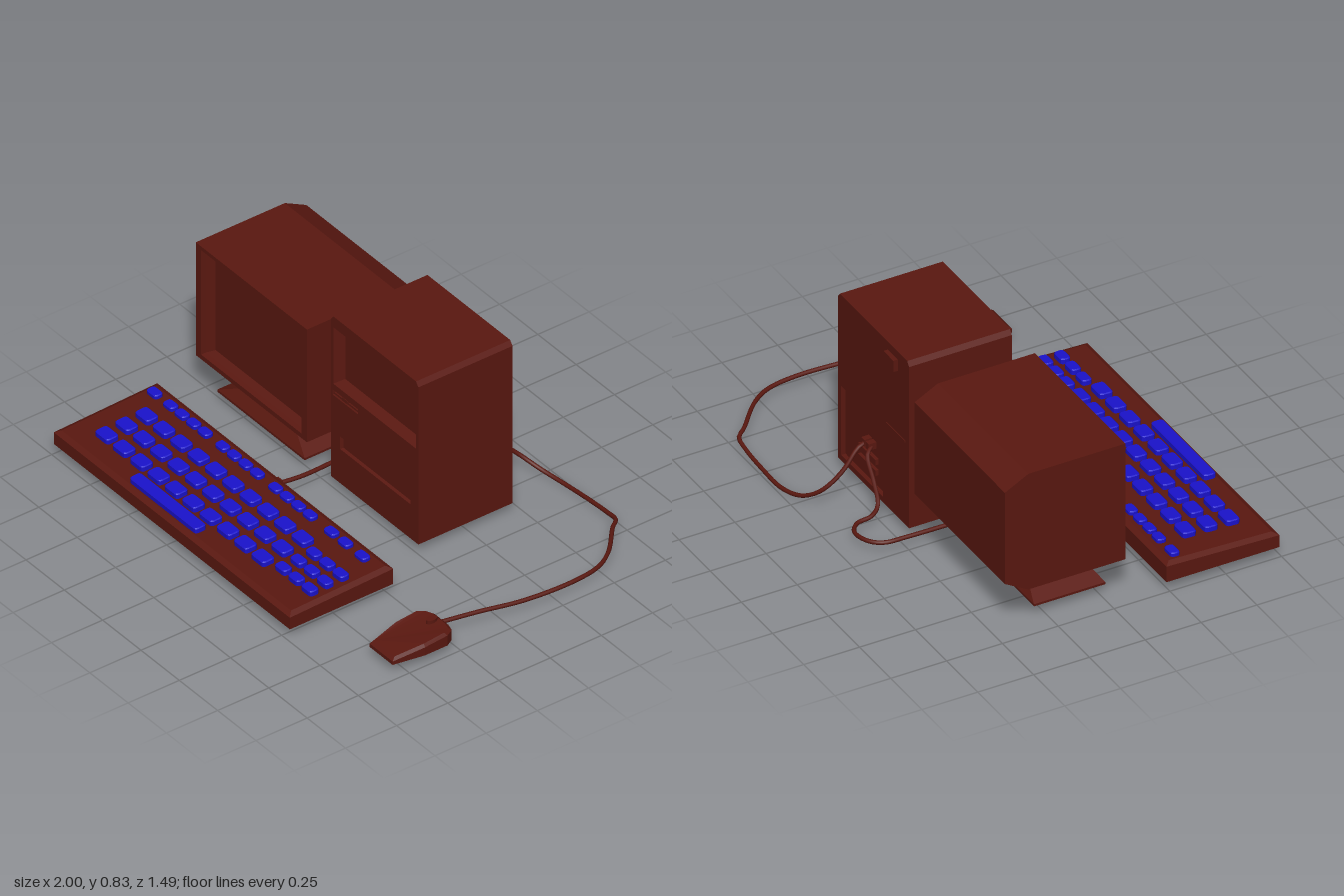
import * as THREE from 'three';

const CASE = new THREE.MeshStandardMaterial({ color: 0x5a1810 });
const BLUE = new THREE.MeshStandardMaterial({ color: 0x1a12cc });

function add(parent, name, geometry, material = CASE) {
  const mesh = new THREE.Mesh(geometry, material);
  mesh.name = name;
  parent.add(mesh);
  return mesh;
}

function box(parent, name, x0, x1, y0, y1, z0, z1) {
  const g = new THREE.BoxGeometry(x1 - x0, y1 - y0, z1 - z0);
  return add(parent, name, g.translate((x0 + x1) / 2, (y0 + y1) / 2, (z0 + z1) / 2));
}

// Flat-faced skin over a row of closed rings, with optional end caps
function loft(rings, capStart = true, capEnd = true) {
  const pos = [];
  const tri = (a, b, c) => pos.push(...a, ...b, ...c);
  for (let k = 0; k + 1 < rings.length; k++) {
    const a = rings[k], b = rings[k + 1], n = a.length;
    for (let i = 0; i < n; i++) {
      const j = (i + 1) % n;
      tri(a[i], a[j], b[j]);
      tri(a[i], b[j], b[i]);
    }
  }
  const first = rings[0], last = rings[rings.length - 1];
  for (let i = 1; i + 1 < first.length; i++) {
    if (capStart) tri(first[0], first[i + 1], first[i]);
    if (capEnd) tri(last[0], last[i], last[i + 1]);
  }
  const g = new THREE.BufferGeometry();
  g.setAttribute('position', new THREE.Float32BufferAttribute(pos, 3));
  g.computeVertexNormals();
  return g;
}

// Rectangular rings: upright (facing z) and lying (facing y, y may depend on z)
const upright = (x0, x1, y0, y1, z) => [[x0, y0, z], [x1, y0, z], [x1, y1, z], [x0, y1, z]];
const lying = (x0, x1, z0, z1, y) =>
  [[x0, z1], [x1, z1], [x1, z0], [x0, z0]].map(([x, z]) => [x, typeof y === 'function' ? y(z) : y, z]);

function cable(parent, name, points) {
  const curve = new THREE.CatmullRomCurve3(points.map(p => new THREE.Vector3(...p)));
  add(parent, name, new THREE.TubeGeometry(curve, 80, 0.009, 8));
}

function buildMonitor() {
  const g = new THREE.Group();
  g.name = 'monitor';
  add(g, 'monitorCasing', loft([
    upright(-0.975, -0.25, 0.26, 0.69, -0.475),
    upright(-0.975, -0.25, 0.2, 0.745, -0.37),
    upright(-0.975, -0.25, 0.2, 0.745, 0.065),
    upright(-0.94, -0.285, 0.222, 0.727, 0.065),
    upright(-0.935, -0.29, 0.227, 0.722, 0.045),
    upright(-0.905, -0.305, 0.245, 0.7, 0.02),
  ]));
  add(g, 'standNeck', loft([
    lying(-0.72, -0.49, -0.25, -0.04, 0.14),
    lying(-0.8, -0.43, -0.29, 0.0, 0.2),
  ]));
  add(g, 'standBase', loft([
    lying(-0.72, -0.49, -0.22, -0.08, 0.11),
    lying(-0.87, -0.35, -0.28, 0.0, 0.05),
    lying(-0.895, -0.325, -0.3, 0.02, 0.05),
    lying(-0.895, -0.325, -0.3, 0.02, 0.06),
    lying(-0.72, -0.49, -0.25, -0.04, 0.145),
  ]));
  return g;
}

// Tower outline with bevelled top corners and rectangular openings
function towerSlice(openings, z0, z1) {
  const outline = [[-0.18, 0.05], [0.39, 0.05], [0.39, 0.81], [0.375, 0.83], [-0.165, 0.83], [-0.18, 0.81]];
  const shape = new THREE.Shape(outline.map(p => new THREE.Vector2(...p)));
  for (const [x0, x1, y0, y1] of openings) {
    shape.holes.push(new THREE.Path([[x0, y0], [x0, y1], [x1, y1], [x1, y0]].map(p => new THREE.Vector2(...p))));
  }
  return new THREE.ExtrudeGeometry(shape, { depth: z1 - z0, bevelEnabled: false }).translate(0, 0, z0);
}

function buildTower() {
  const g = new THREE.Group();
  g.name = 'tower';
  const bay = [-0.165, 0.375, 0.505, 0.778];
  const slot = [-0.17, -0.005, 0.45, 0.475];
  const badge = [-0.12, 0.34, 0.215, 0.275];
  const ports = [0.03, 0.365, 0.075, 0.4];
  add(g, 'towerFront', towerSlice([bay, slot, badge], -0.05, 0));
  add(g, 'towerBody', towerSlice([], -0.44, -0.05));
  add(g, 'towerBack', towerSlice([ports], -0.46, -0.44));
  // Recessed panels of the front
  add(g, 'driveBay', loft([upright(...bay, 0), upright(-0.14, 0.355, 0.525, 0.762, -0.04)], false));
  add(g, 'lowerPanel', loft([upright(...badge, 0), upright(-0.115, 0.335, 0.22, 0.27, -0.012)], false));
  box(g, 'diskSlot', -0.17, -0.005, 0.45, 0.458, -0.04, -0.008);
  box(g, 'diskSlotLip', -0.17, -0.005, 0.468, 0.475, -0.04, -0.008);
  box(g, 'diskButton', -0.11, -0.075, 0.455, 0.47, -0.04, -0.002);
  // Switch, connectors and slot covers of the back
  box(g, 'powerSwitch', -0.09, -0.01, 0.74, 0.793, -0.48, -0.45);
  box(g, 'backSlot', -0.15, 0.0, 0.437, 0.447, -0.464, -0.45);
  for (const x of [0.13, 0.165]) box(g, 'cablePlug', x - 0.013, x + 0.013, 0.245, 0.275, -0.475, -0.44);
  for (const y of [0.13, 0.18]) box(g, 'backPort', 0.1, 0.24, y, y + 0.025, -0.455, -0.44);
  return g;
}

function keyGeometry(w, d) {
  const r = 0.012, x = w / 2 - 0.004, y = d / 2 - 0.004;
  const s = new THREE.Shape();
  s.moveTo(-x + r, -y);
  s.lineTo(x - r, -y).quadraticCurveTo(x, -y, x, -y + r);
  s.lineTo(x, y - r).quadraticCurveTo(x, y, x - r, y);
  s.lineTo(-x + r, y).quadraticCurveTo(-x, y, -x, y - r);
  s.lineTo(-x, -y + r).quadraticCurveTo(-x, -y, -x + r, -y);
  const geo = new THREE.ExtrudeGeometry(s, {
    depth: 0.026, curveSegments: 3, bevelSize: 0.004, bevelThickness: 0.004, bevelSegments: 1,
  });
  return geo.rotateX(-Math.PI / 2);
}

function buildKeyboard() {
  const g = new THREE.Group();
  g.name = 'keyboard';
  const top = z => 0.118 + (0.74 - z) * 0.034;
  add(g, 'keyboardCase', loft([
    lying(-0.975, 0.515, 0.26, 0.715, 0.095),
    lying(-0.975, 0.515, 0.26, 0.715, 0.05),
    lying(-1, 0.54, 0.235, 0.74, 0.05),
    lying(-1, 0.54, 0.235, 0.74, z => top(z) - 0.012),
    lying(-0.978, 0.518, 0.257, 0.718, top),
  ]));
  const key = (x, z, w, d) => {
    const m = add(g, 'key', keyGeometry(w, d), BLUE);
    m.position.set(x, top(z) - 0.012 + (z > 0.35 ? 0.006 : 0), z);
    m.rotation.x = 0.034;
  };
  // Function row in groups
  for (const start of [-0.83, -0.49, -0.145]) {
    for (let i = 0; i < 4; i++) key(start + i * 0.075, 0.295, 0.062, 0.042);
  }
  for (const x of [-0.935, 0.22, 0.31, 0.42]) key(x, 0.295, 0.065, 0.042);
  // Main block, number pad and space bar
  for (const z of [0.412, 0.51, 0.607]) {
    for (let i = 0; i < 10; i++) key(-0.83 + i * 0.113, z, 0.086, 0.06);
  }
  for (const z of [0.435, 0.51, 0.585]) {
    for (const x of [0.293, 0.379, 0.465]) key(x, z, 0.068, 0.045);
  }
  key(-0.328, 0.685, 0.436, 0.055);
  box(g, 'cablePlug', -0.25, -0.22, 0.06, 0.095, 0.205, 0.24);
  return g;
}

function buildMouse() {
  const g = new THREE.Group();
  g.name = 'mouse';
  const outline = [[0.82, 0.56], [0.97, 0.56], [0.995, 0.42], [0.995, 0.31], [0.975, 0.275],
    [0.94, 0.265], [0.85, 0.265], [0.815, 0.28], [0.795, 0.31], [0.795, 0.42]];
  const height = z => 0.11 - Math.max(0, z - 0.36) * 0.16;
  const ring = (scale, y) => outline.map(([x, z]) => {
    const px = 0.895 + (x - 0.895) * scale, pz = 0.41 + (z - 0.41) * scale;
    return [px, y(pz), pz];
  });
  add(g, 'mouseBody', loft([
    ring(1, () => 0.05), ring(1, z => height(z) - 0.012), ring(0.9, height),
  ]));
  const button = add(g, 'mouseButton', new THREE.CylinderGeometry(0.016, 0.016, 0.02, 12));
  button.scale.z = 1.6;
  button.position.set(0.89, 0.111, 0.31);
  return g;
}

export function createModel() {
  const model = new THREE.Group();
  model.name = 'desktopComputer';
  model.add(buildMonitor(), buildTower(), buildKeyboard(), buildMouse());
  cable(model, 'mouseCable', [
    [0.89, 0.085, 0.28], [0.915, 0.075, 0.1], [0.945, 0.06, -0.1], [0.957, 0.057, -0.33], [0.935, 0.055, -0.47],
    [0.88, 0.053, -0.56], [0.75, 0.048, -0.68], [0.71, 0.042, -0.725], [0.64, 0.032, -0.735], [0.5, 0.02, -0.737],
    [0.36, 0.012, -0.73], [0.25, 0.03, -0.7], [0.18, 0.08, -0.65], [0.155, 0.16, -0.57], [0.158, 0.245, -0.5],
    [0.165, 0.26, -0.45],
  ]);
  cable(model, 'keyboardCable', [
    [-0.235, 0.078, 0.235], [-0.228, 0.068, 0.1], [-0.24, 0.06, -0.1], [-0.238, 0.058, -0.5], [-0.225, 0.055, -0.6],
    [-0.18, 0.052, -0.645], [-0.1, 0.05, -0.66], [-0.05, 0.05, -0.62], [-0.04, 0.055, -0.55], [-0.01, 0.075, -0.505],
    [0.04, 0.15, -0.495], [0.1, 0.24, -0.49], [0.13, 0.26, -0.45],
  ]);
  return model;
}
